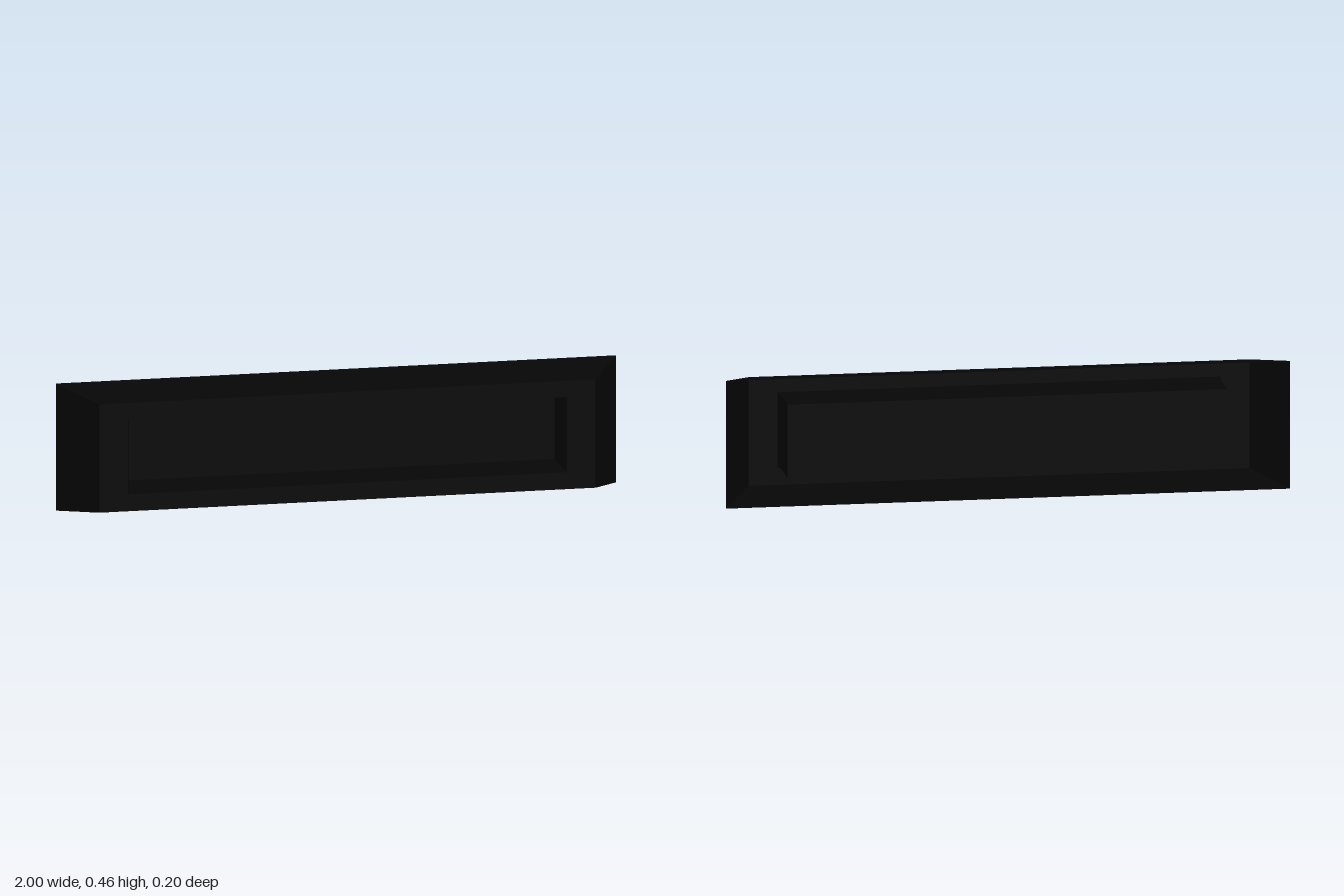
import * as THREE from 'three';

// Rectangle loop, counter-clockwise seen from the front
const rect = (halfWidth, bottom, top, z) => [
  [-halfWidth, bottom, z], [halfWidth, bottom, z],
  [halfWidth, top, z], [-halfWidth, top, z],
];

// Flat quads joining loop a to the next loop b
function band(a, b) {
  const quads = a.map((p, i) => {
    const j = (i + 1) % 4;
    return [p, a[j], b[j], b[i]];
  });
  return fromQuads(quads);
}

function fromQuads(quads) {
  const points = quads.flatMap(([a, b, c, d]) => [a, b, c, a, c, d]).flat();
  const geometry = new THREE.BufferGeometry();
  geometry.setAttribute('position', new THREE.Float32BufferAttribute(points, 3));
  geometry.computeVertexNormals();
  return geometry;
}

export function createModel() {
  const group = new THREE.Group();
  group.name = 'recessedHousing';
  const black = new THREE.MeshStandardMaterial({ color: 0x060606, side: THREE.DoubleSide });
  black.name = 'black';

  const backRim = rect(1, 0, 0.458, -0.098);
  const frontRim = rect(0.887, 0.034, 0.424, 0.098);
  const opening = rect(0.785, 0.095, 0.366, 0.098);
  const pocketRim = rect(0.779, 0.099, 0.362, 0.075);
  const pocketEnd = rect(0.779, 0.099, 0.362, -0.085);

  const add = (name, geometry) => {
    const mesh = new THREE.Mesh(geometry, black);
    mesh.name = name;
    group.add(mesh);
  };

  // Tapered outer walls, open at the back
  add('outerWalls', band(backRim, frontRim));
  // Flat border around the opening, with a narrow lip leading into the pocket
  add('frontFrame', band(frontRim, opening));
  add('openingLip', band(opening, pocketRim));
  // Straight-sided pocket set into the front
  add('recessWalls', band(pocketRim, pocketEnd));
  add('recessPanel', fromQuads([pocketEnd]));

  return group;
}
